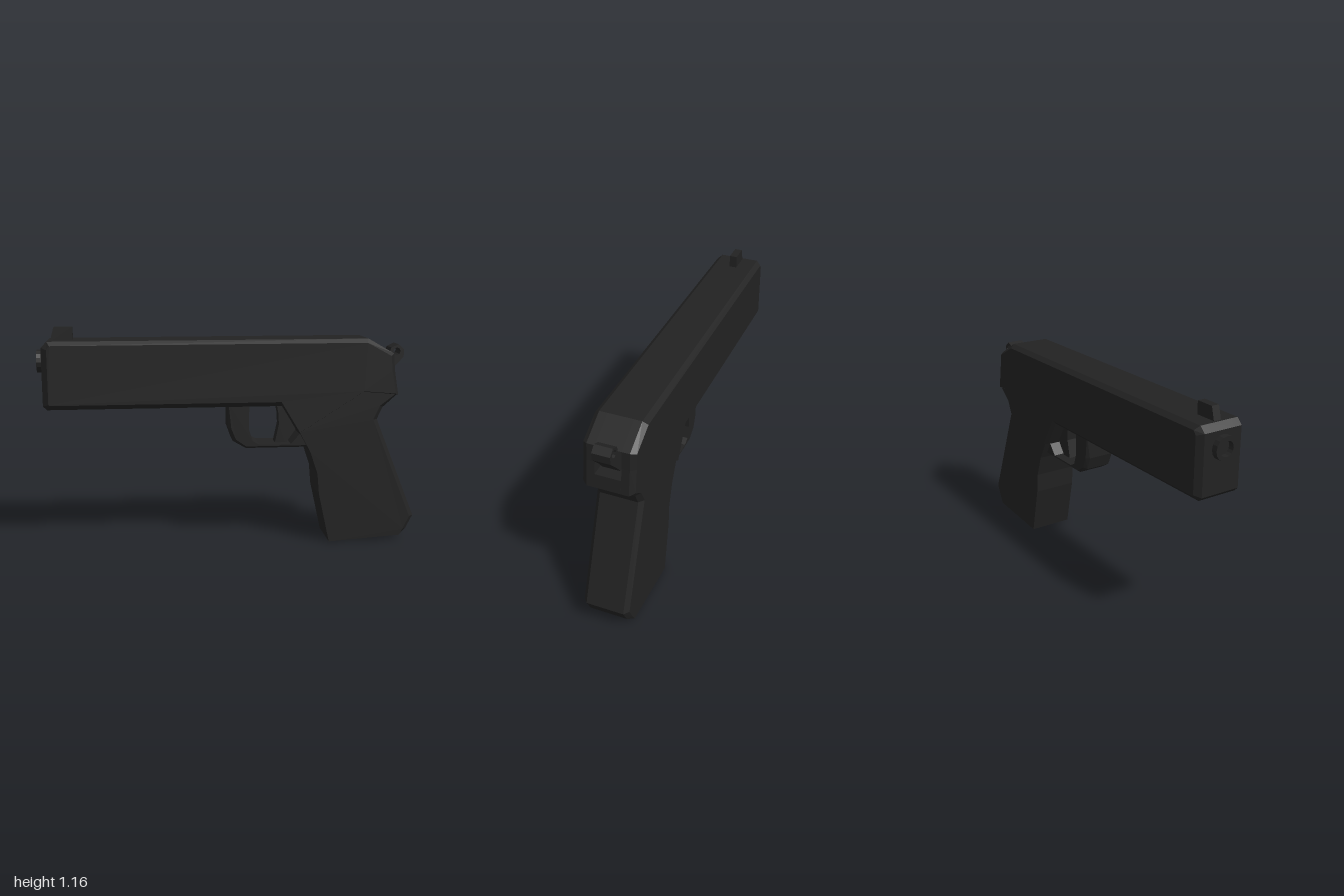
import * as THREE from 'three';

const dark = new THREE.MeshStandardMaterial({ color: 0x222222, flatShading: true });

// Prism along z. Points are [x, y, insetX, insetY], counter-clockwise;
// sections are [z, inset amount] with z ascending.
function prism(points, sections) {
  const at = (i, [z, t]) => {
    const [x, y, dx = 0, dy = 0] = points[i];
    return [x + dx * t, y + dy * t, z];
  };
  const pos = [];
  const tri = (a, b, c) => pos.push(...a, ...b, ...c);
  const n = points.length;
  for (let k = 0; k < sections.length - 1; k++) {
    for (let i = 0; i < n; i++) {
      const j = (i + 1) % n;
      const a = at(i, sections[k]), b = at(j, sections[k]);
      const c = at(j, sections[k + 1]), d = at(i, sections[k + 1]);
      tri(a, b, c);
      tri(a, c, d);
    }
  }
  const first = sections[0], last = sections[sections.length - 1];
  const flat = (s) => points.map((_, i) => new THREE.Vector2(...at(i, s).slice(0, 2)));
  for (const [a, b, c] of THREE.ShapeUtils.triangulateShape(flat(last), [])) tri(at(a, last), at(b, last), at(c, last));
  for (const [a, b, c] of THREE.ShapeUtils.triangulateShape(flat(first), [])) tri(at(c, first), at(b, first), at(a, first));
  const g = new THREE.BufferGeometry();
  g.setAttribute('position', new THREE.Float32BufferAttribute(pos, 3));
  g.computeVertexNormals();
  return g;
}

// Symmetric prism with chamfered sides
const bevelled = (points, half, bevel) =>
  prism(points, [[-half, 1], [-half + bevel, 0], [half - bevel, 0], [half, 1]]);

export function createModel() {
  const model = new THREE.Group();
  const add = (name, geometry) => {
    const mesh = new THREE.Mesh(geometry, dark);
    mesh.name = name;
    model.add(mesh);
    return mesh;
  };

  // Main body: two chamfered sides around a core with a rear slot
  const lower = [
    [-0.97, 0.77, 0.03, 0.01], [-0.95, 0.75, 0.02, 0.025], [0.27, 0.75, -0.01, 0.025],
    [0.36, 0.6, 0, 0.01], [0.7, 0.815, 0, 0.01], [0.89, 0.8, -0.02, 0.01],
  ];
  const upper = [
    [0.86, 1.02, -0.02, -0.01], [0.72, 1.1, -0.01, -0.02],
    [-0.94, 1.1, 0.015, -0.02], [-0.97, 1.07, 0.03, -0.01],
  ];
  const side = [...lower, [0.868, 0.93, -0.02, 0], ...upper];
  const core = [...lower, [0.88, 0.87], [0.8, 0.87], [0.8, 1.0], ...upper];
  add('bodyCore', prism(core, [[-0.065, 0], [0.065, 0]]));
  add('bodyLeftSide', prism(side, [[0.065, 0], [0.105, 0], [0.13, 1]]));
  add('bodyRightSide', prism(side, [[-0.13, 1], [-0.105, 0], [-0.065, 0]]));

  // Raked grip, chamfered along its rear edge
  add('grip', bevelled([
    [0.36, 0.61], [0.42, 0.5], [0.46, 0.38], [0.47, 0.27], [0.53, 0],
    [0.93, 0.025, -0.01, 0], [0.96, 0.055, -0.02, 0.005], [0.998, 0.13, -0.025, 0],
    [0.78, 0.67, -0.025, 0], [0.81, 0.735, -0.02, 0.01], [0.885, 0.802, -0.02, 0],
    [0.7, 0.83],
  ], 0.12, 0.022));

  // Trigger guard as one open loop
  add('triggerGuard', bevelled([
    [-0.015, 0.77], [-0.015, 0.63, 0.015, 0], [0.01, 0.56, 0.015, 0.01],
    [0.08, 0.52, 0, 0.012], [0.39, 0.52, 0, 0.012], [0.44, 0.535], [0.38, 0.61],
    [0.32, 0.54], [0.15, 0.54], [0.115, 0.56], [0.095, 0.62], [0.095, 0.77],
  ], 0.085, 0.018));

  // Curved trigger
  add('trigger', prism([
    [0.24, 0.535], [0.3, 0.535], [0.36, 0.62], [0.33, 0.77],
    [0.245, 0.77], [0.258, 0.7], [0.262, 0.64],
  ], [[-0.035, 0], [0.035, 0]]));

  // Front sight blade
  add('frontSight', prism([
    [-0.93, 1.09], [-0.815, 1.09], [-0.815, 1.165], [-0.91, 1.165],
  ], [[-0.02, 0], [0.02, 0]]));

  // Hollow muzzle ring
  const ring = [[0.06, -0.02], [0.06, 0.03], [0.038, 0.03], [0.038, -0.02]];
  const muzzle = add('muzzle', new THREE.LatheGeometry(ring.map((p) => new THREE.Vector2(...p)), 16));
  muzzle.rotation.z = Math.PI / 2;
  muzzle.position.set(-0.97, 0.99, 0);

  // Hammer with a pierced head
  const hammer = new THREE.Shape([
    [0.79, 0.89], [0.84, 0.89], [0.87, 0.93], [0.93, 0.995], [0.932, 1.035],
    [0.9, 1.062], [0.862, 1.045], [0.85, 1.015], [0.79, 0.96],
  ].map((p) => new THREE.Vector2(...p)));
  hammer.holes.push(new THREE.Path().absarc(0.893, 1.025, 0.02, 0, Math.PI * 2, true));
  const hammerGeometry = new THREE.ExtrudeGeometry(hammer, { depth: 0.09, bevelEnabled: false, curveSegments: 4 });
  add('hammer', hammerGeometry.translate(0, 0, -0.045));

  return model;
}
